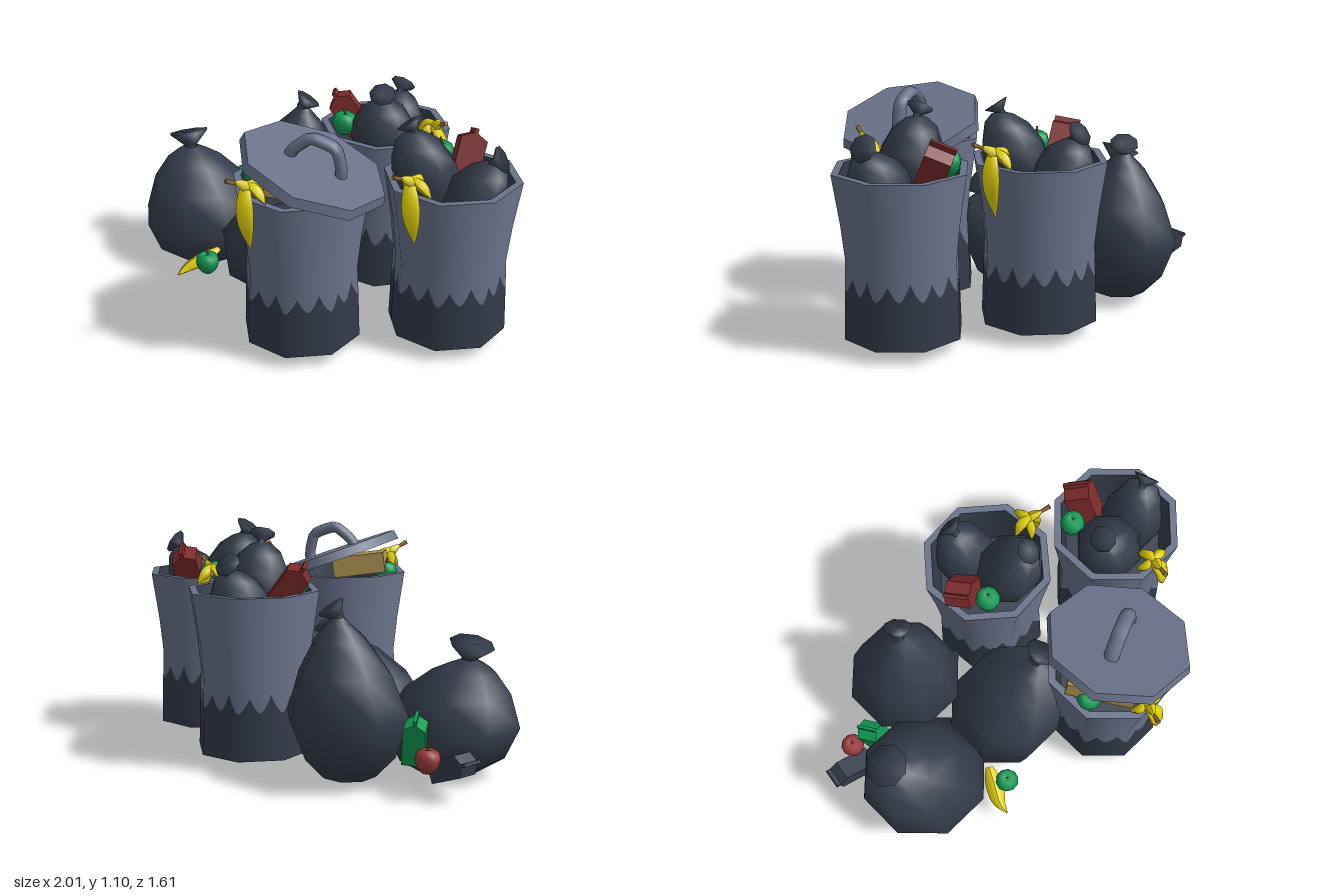
import * as THREE from 'three';

const mat = (name, color, side = THREE.FrontSide) => {
  const m = new THREE.MeshStandardMaterial({ color, side });
  m.name = name;
  return m;
};
const V = (x, y, z) => new THREE.Vector3(x, y, z);
const points2 = (list, sx, sy) => list.map(([a, b]) => new THREE.Vector2(a * sx, b * sy));

export function createModel() {
  const root = new THREE.Group();
  root.name = 'rubbishPile';
  const metal = mat('blueGreyMetal', 0x69728a, THREE.DoubleSide);
  const dark = mat('charcoal', 0x343c4a, THREE.DoubleSide);
  const yellow = mat('bananaYellow', 0xe2d20c);
  const brown = mat('stemBrown', 0x8c6a38);
  const green = mat('green', 0x119a55);
  const red = mat('darkRed', 0x7c2a2c);
  const appleRed = mat('appleRed', 0x983a3c);
  const tan = mat('cardboard', 0xac9150);

  const add = (parent, name, geo, material, x = 0, y = 0, z = 0) => {
    const m = new THREE.Mesh(geo, material);
    m.name = name;
    m.position.set(x, y, z);
    parent.add(m);
    return m;
  };
  const group = (name, x = 0, y = 0, z = 0) => {
    const g = new THREE.Group();
    g.name = name;
    g.position.set(x, y, z);
    root.add(g);
    return g;
  };

  // ---- bins: octagonal walls with a jagged dark band at the foot ----
  const profile = [[0.06, 0.281], [0.29, 0.273], [0.43, 0.267], [0.6, 0.285], [0.83, 0.32]];
  const radiusAt = y => {
    let i = 0;
    while (i < profile.length - 2 && y > profile[i + 1][0]) i++;
    const [y0, r0] = profile[i], [y1, r1] = profile[i + 1];
    return r0 + (r1 - r0) * (y - y0) / (y1 - y0);
  };
  const COLS = 160;
  const bandTop = a => {
    const k = a / (Math.PI / 8);
    const d = Math.abs(k - Math.floor(k) - 0.5) * 2;
    return 0.287 + Math.pow(1 - d, 1.6) * (Math.floor(k) % 2 ? 0.085 : 0.07);
  };
  const wall = rowsAt => {
    const pos = [], nor = [], idx = [];
    let rows = 0;
    for (let i = 0; i <= COLS; i++) {
      const a = i / COLS * Math.PI * 2;
      const oct = Math.cos(Math.PI / 8) / Math.cos(a % (Math.PI / 4) - Math.PI / 8);
      const ys = rowsAt(bandTop(a));
      rows = ys.length;
      for (const y of ys) {
        const r = radiusAt(y) * oct;
        pos.push(Math.sin(a) * r, y, Math.cos(a) * r);
        nor.push(Math.sin(a), 0, Math.cos(a));
      }
    }
    for (let i = 0; i < COLS; i++) for (let j = 0; j < rows - 1; j++) {
      const p = i * rows + j, q = p + rows;
      idx.push(p, q, q + 1, p, q + 1, p + 1);
    }
    const g = new THREE.BufferGeometry();
    g.setAttribute('position', new THREE.Float32BufferAttribute(pos, 3));
    g.setAttribute('normal', new THREE.Float32BufferAttribute(nor, 3));
    g.setIndex(idx);
    return g;
  };
  const flat = (geo, up = 1) => geo.rotateX(-up * Math.PI / 2);
  const bin = (name, x, z, turn) => {
    const g = group(name, x, 0, z);
    g.rotation.y = turn;
    add(g, 'binFootBand', wall(h => [0.06, h]), dark);
    add(g, 'binWall', wall(h => [h, 0.43, 0.6, 0.83]), metal);
    add(g, 'binRim', flat(new THREE.RingGeometry(0.284, 0.32, 8)), metal, 0, 0.83);
    add(g, 'binLining', new THREE.CylinderGeometry(0.284, 0.25, 0.23, 8, 1, true), dark, 0, 0.715);
    add(g, 'binInside', flat(new THREE.CircleGeometry(0.25, 8)), dark, 0, 0.6);
    add(g, 'footRing', flat(new THREE.RingGeometry(0.235, 0.281, 8), -1), dark, 0, 0.06);
    add(g, 'footRecess', new THREE.CylinderGeometry(0.235, 0.235, 0.02, 8, 1, true), dark, 0, 0.07);
    add(g, 'binBase', flat(new THREE.CircleGeometry(0.235, 8), -1), dark, 0, 0.08);
  };
  bin('frontBin', 0.03, 0.445, 0);
  bin('leftBin', 0.68, 0.21, 0);
  bin('backBin', 0.255, -0.285, 0.08);

  // ---- tilted lid with arched handle ----
  const lid = group('lid', 0.087, 0.902, 0.45);
  lid.rotation.z = -0.345;
  add(lid, 'lidDisc', new THREE.CylinderGeometry(0.345, 0.355, 0.046, 8), metal);
  const arch = new THREE.CatmullRomCurve3([V(-0.125, 0, 0), V(-0.115, 0.04, 0), V(-0.07, 0.11, 0), V(-0.04, 0.124, 0),
    V(0.04, 0.124, 0), V(0.07, 0.11, 0), V(0.115, 0.04, 0), V(0.125, 0, 0)], false, 'catmullrom', 0.3);
  const handle = add(lid, 'lidHandle', new THREE.TubeGeometry(arch, 16, 0.028, 8), metal, 0.005, 0.015);
  handle.scale.z = 1.3;

  // ---- tied bags: a lathe whose top leans towards the knot ----
  const squat = [[0, 0], [0.42, 0.02], [0.82, 0.16], [1, 0.42], [0.77, 0.71], [0.46, 0.89], [0.25, 0.96], [0.1, 1]];
  const tall = [[0, 0], [0.44, 0.01], [0.76, 0.14], [1, 0.39], [0.76, 0.65], [0.42, 0.86], [0.2, 0.95], [0.09, 1]];
  const slumped = [[0, 0], [0.55, 0.02], [0.86, 0.16], [1, 0.45], [0.9, 0.64], [0.58, 0.85], [0.25, 0.95], [0.1, 1]];
  const round = [[0, 0], [0.5, 0.03], [0.85, 0.2], [1, 0.45], [0.92, 0.68], [0.67, 0.87], [0.34, 0.97], [0.1, 1]];
  const bag = (name, shape, x, y, z, r, h, dx, dz, ruffle, tilt) => {
    const g = group(name, x, y, z);
    const body = new THREE.LatheGeometry(points2(shape, r, h), 8);
    const p = body.attributes.position;
    for (let i = 0; i < p.count; i++) {
      const t = Math.pow(p.getY(i) / h, 2.5);
      p.setX(i, p.getX(i) + dx * t);
      p.setZ(i, p.getZ(i) + dz * t);
    }
    add(g, 'bagBody', body, dark);
    const neck = r * 0.1 + 0.003;
    const flare = [[neck, -0.015], [neck, 0.005], [ruffle, ruffle * 0.7], [0, ruffle * 0.65]];
    const knot = add(g, 'bagRuffle', new THREE.LatheGeometry(points2(flare, 1, 1), 8), dark, dx, h, dz);
    knot.quaternion.setFromAxisAngle(V(dz, 0, -dx).normalize(), tilt);
  };
  bag('rightBag', squat, -0.68, 0, -0.22, 0.32, 0.57, -0.11, -0.11, 0.105, 0.3);
  bag('backBag', tall, -0.285, 0.03, -0.515, 0.287, 0.74, 0.05, -0.02, 0.07, 0.6);
  bag('middleBag', slumped, -0.25, 0.03, -0.01, 0.29, 0.54, 0.22, 0.1, 0.085, 0.7);
  bag('leftBinBagA', round, 0.575, 0.6, 0.225, 0.163, 0.43, -0.08, -0.01, 0.064, 0.6);
  bag('leftBinBagB', round, 0.755, 0.58, 0.26, 0.152, 0.36, 0.11, 0.01, 0.066, 1.05);
  bag('backBinBagA', round, 0.27, 0.6, -0.195, 0.163, 0.43, 0.01, 0.09, 0.064, 0.6);
  bag('backBinBagB', round, 0.27, 0.58, -0.39, 0.152, 0.36, 0.02, -0.07, 0.064, 0.9);

  // ---- gable-topped cartons ----
  const carton = (name, material, x, y, z, w, h, rx, ry, rz) => {
    const g = group(name, x, y, z);
    g.rotation.set(rx, ry, rz);
    const s = new THREE.Shape(points2([[-1, -1], [1, -1], [1, 0.6], [0, 0.88], [-1, 0.6]], w, h));
    const geo = new THREE.ExtrudeGeometry(s, { depth: w * 2, bevelEnabled: false });
    add(g, 'cartonBody', geo.translate(0, 0, -w), material);
    add(g, 'cartonCrimp', new THREE.BoxGeometry(w * 0.3, h * 0.3, w * 2), material, 0, h * 0.9, 0);
  };
  carton('leftBinCarton', red, 0.72, 0.865, 0.02, 0.062, 0.11, -0.4, 0.3, -0.15);
  carton('backBinCarton', red, 0.055, 0.86, -0.325, 0.06, 0.115, -0.15, 0.2, 0.65);
  carton('greenCarton', green, -0.6, 0.24, -0.55, 0.05, 0.11, -0.25, 0.1, 0.1);
  carton('darkCarton', dark, -0.79, 0.145, -0.605, 0.05, 0.11, 0, -0.55, 1.2);
  const box = add(root, 'cardboardBox', new THREE.BoxGeometry(0.26, 0.1, 0.32), tan, -0.06, 0.865, 0.44);
  box.rotation.set(0.08, 0.2, -0.15);

  // ---- apples ----
  const fruit = [[0, -0.85], [0.45, -0.95], [0.85, -0.5], [1, 0.1], [0.85, 0.65], [0.45, 0.9], [0, 0.7]];
  const apple = (name, material, x, y, z, r) => {
    const g = group(name, x, y, z);
    add(g, 'appleFlesh', new THREE.LatheGeometry(points2(fruit, r, r), 10), material);
    add(g, 'appleStem', new THREE.CylinderGeometry(0.006, 0.004, 0.04, 5), brown, 0, r * 0.95, 0).rotation.z = 0.3;
  };
  apple('groundGreenApple', green, -0.545, 0.165, 0.15, 0.058);
  apple('groundRedApple', appleRed, -0.68, 0.175, -0.64, 0.058);
  apple('leftBinApple', green, 0.59, 0.85, 0.02, 0.06);
  apple('backBinApple', green, 0.07, 0.85, -0.2, 0.06);
  apple('frontBinGreenApple', green, -0.2, 0.83, 0.42, 0.055);
  apple('frontBinRedApple', appleRed, 0.06, 0.83, 0.6, 0.055);

  // ---- banana peels: pointed flat strips hanging over the rims ----
  const strip = (parent, name, pts, width, sy, sz) => {
    const curve = new THREE.CatmullRomCurve3(pts);
    const n = 10, sides = 5;
    const geo = new THREE.TubeGeometry(curve, n, 1, sides);
    const p = geo.attributes.position, c = V(), v = V();
    for (let i = 0; i < p.count; i++) {
      const t = Math.floor(i / (sides + 1)) / n;
      curve.getPointAt(t, c);
      v.fromBufferAttribute(p, i).sub(c).multiplyScalar(width * (0.05 + Math.sin(Math.PI * (0.12 + 0.88 * t))));
      p.setXYZ(i, c.x + v.x, c.y + v.y * sy, c.z + v.z * sz);
    }
    geo.computeVertexNormals();
    add(parent, name, geo, yellow);
  };
  const peel = (name, x, z, turn) => {
    const g = group(name, x, 0.9, z);
    g.rotation.y = turn;
    strip(g, 'hangingStrip', [V(-0.02, 0, 0), V(-0.005, -0.06, 0.04), V(0.008, -0.15, 0.06), V(0.03, -0.28, 0.055)], 0.044, 1, 0.4);
    strip(g, 'leftStrip', [V(-0.01, 0.01, 0), V(0.04, -0.02, 0.005), V(0.09, -0.065, 0.02)], 0.026, 1, 0.9);
    strip(g, 'rightStrip', [V(0, 0, 0), V(-0.035, -0.03, -0.025), V(-0.06, -0.07, -0.06)], 0.024, 1, 0.9);
    strip(g, 'innerStrip', [V(-0.01, 0.01, 0.01), V(0.01, -0.015, -0.045), V(0.015, -0.07, -0.09)], 0.026, 1, 0.9);
    strip(g, 'peelNeck', [V(0.02, -0.035, -0.03), V(-0.01, -0.005, 0.01), V(-0.035, 0.02, 0.04), V(-0.05, 0.03, 0.06)], 0.025, 1, 1);
    const stem = add(g, 'peelStem', new THREE.CylinderGeometry(0.012, 0.009, 0.05, 6), brown, -0.054, 0.033, 0.068);
    stem.quaternion.setFromUnitVectors(V(0, 1, 0), V(-0.5, 0.4, 0.7).normalize());
  };
  peel('frontBinPeel', -0.135, 0.685, -0.2);
  peel('leftBinPeel', 0.545, 0.455, -0.1);
  peel('backBinPeel', 0.515, -0.18, 1.4);
  strip(root, 'groundBanana', [V(-0.52, 0.19, 0.04), V(-0.59, 0.15, 0.1), V(-0.65, 0.12, 0.15), V(-0.685, 0.1, 0.21)], 0.044, 0.55, 1);

  return root;
}
